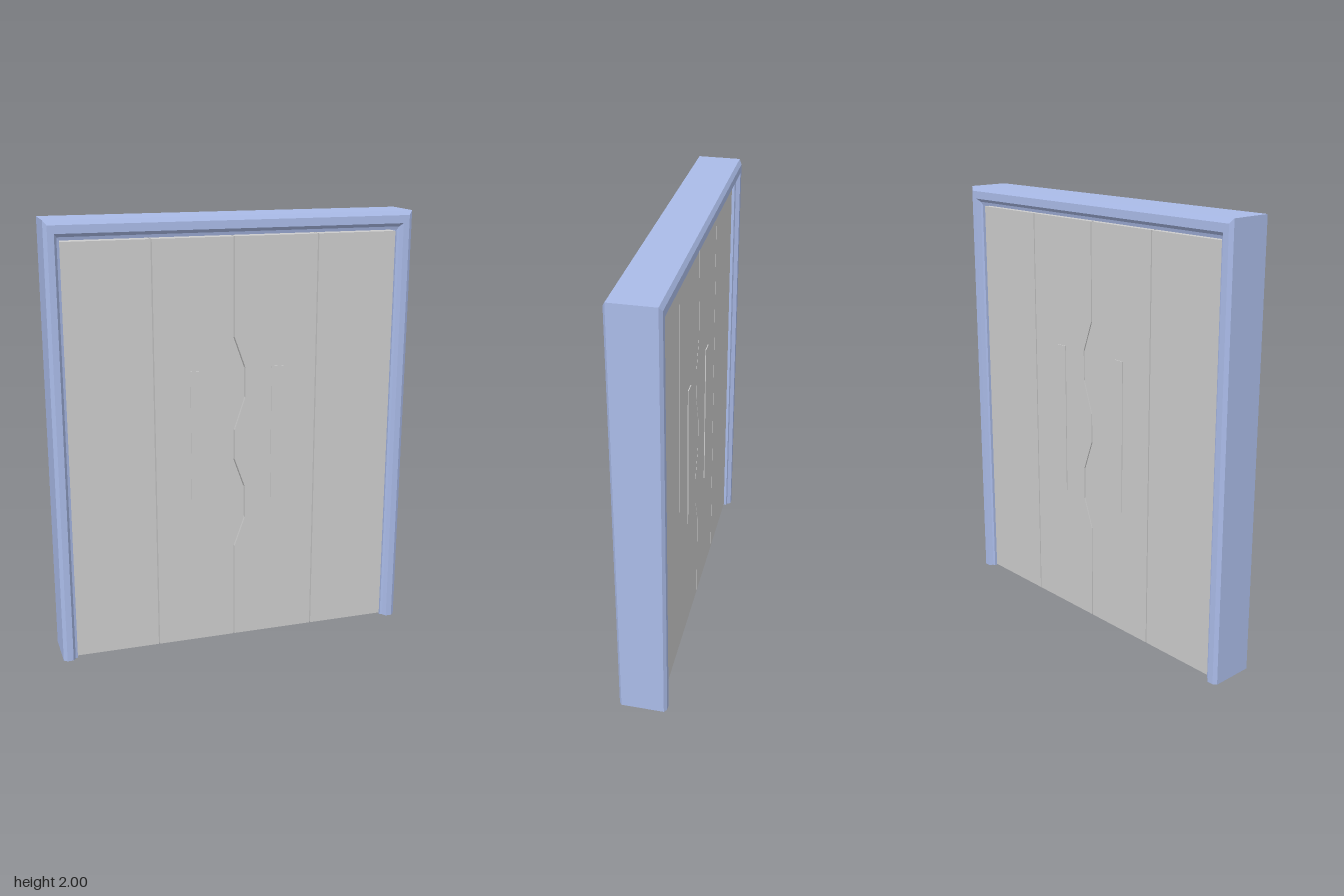
import * as THREE from 'three';

const blue = new THREE.MeshStandardMaterial({ color: 0xaabbe8, flatShading: true });
const grey = new THREE.MeshStandardMaterial({ color: 0xcccccc, flatShading: true });

const W = 0.83, H = 2, DOOR = 0.075, GAP = 0.003, BOTTOM = 0.004, TOP = 1.907;

// Moulded casing: a bevelled section swept up, across and down with mitred corners
function frameGeometry() {
  const half = [[0, 0.098], [0.016, 0.11], [0.044, 0.11], [0.056, 0.092], [0.067, 0.088]]; // inset, z
  const section = [...half, ...half.map(([d, z]) => [d, -z]).reverse()];
  const rings = section.map(([d, z]) => {
    const x = W - d, y = H - d * 1.27;
    return [[-x, 0, z], [-x, y, z], [x, y, z], [x, 0, z]];
  });
  const pos = [];
  const n = section.length;
  for (let i = 0; i < n; i++) {
    const a = rings[i], b = rings[(i + 1) % n];
    for (let k = 0; k < 3; k++) {
      pos.push(...a[k], ...b[k], ...b[k + 1], ...a[k], ...b[k + 1], ...a[k + 1]);
    }
  }
  // flat feet under the two jambs
  const tris = THREE.ShapeUtils.triangulateShape(section.map(([d, z]) => new THREE.Vector2(d, z)), []);
  for (const [i, j, k] of tris) {
    for (const end of [0, 3]) {
      const [p, q, r] = [rings[i][end], rings[j][end], rings[k][end]];
      const up = (q[2] - p[2]) * (r[0] - p[0]) - (q[0] - p[0]) * (r[2] - p[2]);
      pos.push(...p, ...(up > 0 ? r : q), ...(up > 0 ? q : r));
    }
  }
  const g = new THREE.BufferGeometry();
  g.setAttribute('position', new THREE.Float32BufferAttribute(pos, 3));
  g.computeVertexNormals();
  return g;
}

// Seams between leaves, each listed from bottom to top
const straight = (x) => [[x, BOTTOM], [x, TOP]];
const wave = [[0, BOTTOM], [0, 0.46], [0.05, 0.6], [0.05, 0.75], [0, 0.89], [0, 1.03],
  [0.05, 1.18], [0.05, 1.32], [0, 1.46], [0, TOP]].map(([x, y]) => [x - 0.002, y]);

function leaf(name, left, right) {
  const outline = [
    ...right.map(([x, y]) => new THREE.Vector2(x - GAP, y)),
    ...left.map(([x, y]) => new THREE.Vector2(x + GAP, y)).reverse(),
  ];
  const g = new THREE.ExtrudeGeometry(new THREE.Shape(outline), { depth: 2 * DOOR, bevelEnabled: false });
  g.translate(0, 0, -DOOR);
  const m = new THREE.Mesh(g, grey);
  m.name = name;
  return m;
}

export function createModel() {
  const model = new THREE.Group();
  model.name = 'doubleDoor';

  const frame = new THREE.Mesh(frameGeometry(), blue);
  frame.name = 'doorFrame';
  model.add(frame);

  // Four leaves, the middle two meeting on a wavy seam
  const seams = [straight(-0.766), straight(-0.372), wave, straight(0.39), straight(0.766)];
  ['rightOuterPanel', 'rightInnerPanel', 'leftInnerPanel', 'leftOuterPanel'].forEach((name, i) => {
    model.add(leaf(name, seams[i], seams[i + 1]));
  });

  // Slim pull plates, showing on both faces
  for (const [name, x] of [['rightHandle', -0.178], ['leftHandle', 0.203]]) {
    const handle = new THREE.Mesh(new THREE.BoxGeometry(0.056, 0.714, 2 * DOOR + 0.008), grey);
    handle.position.set(x, 0.962, 0);
    handle.name = name;
    model.add(handle);
  }
  return model;
}
